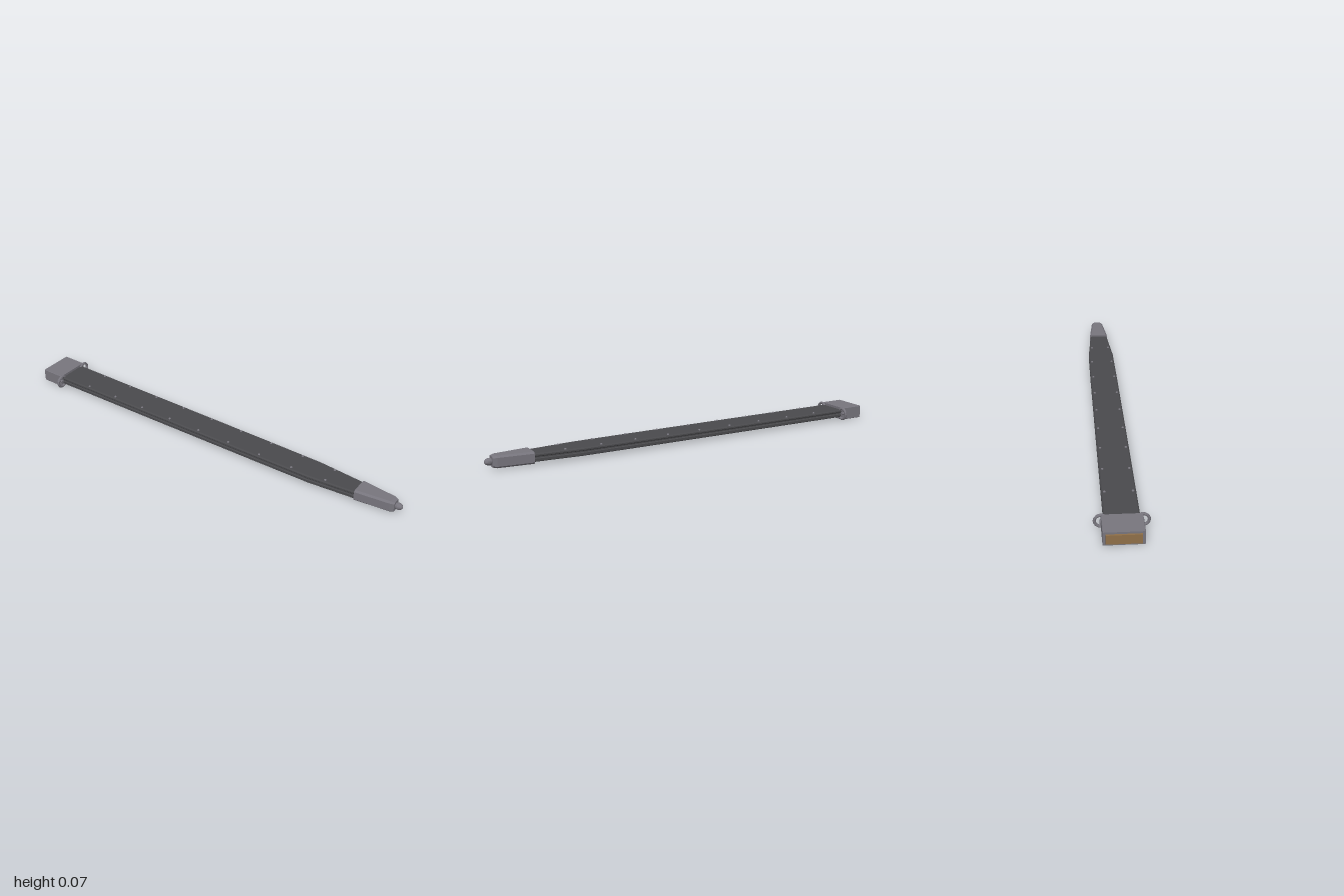
import * as THREE from 'three';

const metal = new THREE.MeshStandardMaterial({ color: 0x77757d, flatShading: true });
const leather = new THREE.MeshStandardMaterial({ color: 0x4a4a4d, flatShading: true });
const wood = new THREE.MeshStandardMaterial({ color: 0x8f6f48 });
const MID = 0.034;

// Lofts one cross-section outline per station along z, capped at both ends.
function loft(sections) {
  const n = sections[0].points.length, pos = [], index = [];
  for (const { z, points } of sections) for (const [x, y] of points) pos.push(x, y, z);
  for (let s = 0; s < sections.length - 1; s++) {
    for (let i = 0; i < n; i++) {
      const a = s * n + i, b = s * n + (i + 1) % n;
      index.push(a, b, b + n, a, b + n, a + n);
    }
  }
  const last = (sections.length - 1) * n;
  const cap = THREE.ShapeUtils.triangulateShape(sections[0].points.map(p => new THREE.Vector2(...p)), []);
  for (const [a, b, c] of cap) index.push(a, c, b, last + a, last + b, last + c);
  const g = new THREE.BufferGeometry();
  g.setAttribute('position', new THREE.Float32BufferAttribute(pos, 3));
  g.setIndex(index);
  g.computeVertexNormals();
  return g;
}

// Rectangle with cut corners, listed counter-clockwise seen from the front.
function cutBox(w, y0, y1, c) {
  return [[w - c, y0], [w, y0 + c], [w, y1 - c], [w - c, y1],
    [-w + c, y1], [-w, y1 - c], [-w, y0 + c], [-w + c, y0]];
}

// Half width of the sheath along its length.
const widths = [[-0.9, 0.073], [-0.3, 0.07], [0.3, 0.066], [0.57, 0.063], [0.8, 0.043], [0.95, 0.028]];
function widthAt(z) {
  const i = Math.max(1, widths.findIndex(w => w[0] >= z));
  const [z0, w0] = widths[i - 1], [z1, w1] = widths[i];
  return w0 + (w1 - w0) * (z - z0) / (z1 - z0);
}

export function createModel() {
  const root = new THREE.Group();
  function add(name, geometry, material, x = 0, y = 0, z = 0, parent = root) {
    const m = new THREE.Mesh(geometry, material);
    m.name = name;
    m.position.set(x, y, z);
    parent.add(m);
    return m;
  }

  // Leather sheath: two panels with a narrower seam between them
  const layer = (inset, y0, y1, c) => loft(widths.map(([z, w]) => ({ z, points: cutBox(w - inset, y0, y1, c) })));
  add('lowerPanel', layer(0, 0.016, 0.033, 0.003), leather);
  add('seam', layer(0.004, 0.031, 0.039, 0.001), leather);
  add('upperPanel', layer(0, 0.037, 0.053, 0.005), leather);

  // Studs in two rows along the top edge
  const studs = new THREE.Group();
  studs.name = 'studs';
  root.add(studs);
  const studGeometry = new THREE.SphereGeometry(0.006, 8, 4, 0, Math.PI * 2, 0, Math.PI / 2);
  for (let i = 0; i < 9; i++) {
    const z = -0.705 + i * 0.169;
    for (const side of [-1, 1]) {
      add('stud', studGeometry, metal, side * (widthAt(z) - 0.0135), 0.0525, z, studs);
    }
  }

  // Chape and its ball tip
  add('chape', loft([
    { z: 0.79, points: cutBox(0.047, 0.007, 0.062, 0.008) },
    { z: 0.95, points: cutBox(0.029, 0.007, 0.062, 0.008) },
    { z: 0.968, points: cutBox(0.021, 0.011, 0.058, 0.006) },
  ]), metal);
  const tip = add('tipBall', new THREE.SphereGeometry(0.016, 12, 8), metal, 0, 0.035, 0.978);
  tip.scale.z = 1.375;

  // Locket with a wooden throat
  add('locket', loft([
    { z: -0.992, points: cutBox(0.083, 0.003, 0.064, 0.002) },
    { z: -0.875, points: cutBox(0.083, 0.003, 0.064, 0.002) },
  ]), metal);
  add('throat', new THREE.BoxGeometry(0.142, 0.042, 0.03), wood, 0, MID, -0.985);

  // Hanging rings with their lugs
  for (const side of [-1, 1]) {
    add('ring', new THREE.TorusGeometry(0.0265, 0.0065, 8, 16), metal, side * 0.082, MID, -0.874);
    const lug = add('lug', new THREE.CylinderGeometry(0.007, 0.007, 0.03, 8), metal, side * 0.081, MID, -0.885);
    lug.rotation.x = Math.PI / 2;
  }
  return root;
}
